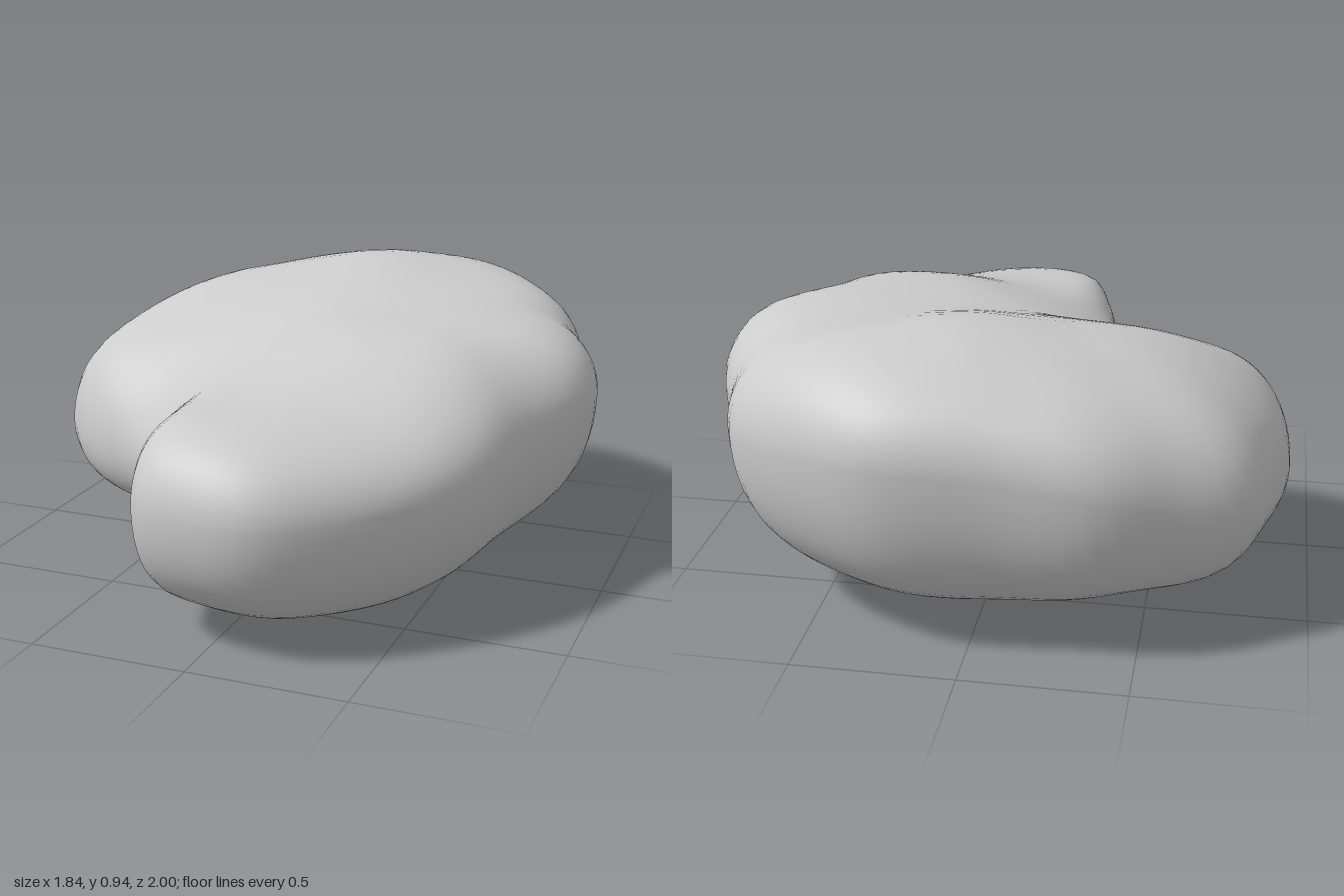
import * as THREE from 'three';

// Widest contour of the boulder seen from above: x, height, z
const RIM = [
  [-0.1, 0.63, -0.98], [0.24, 0.65, -1.0], [0.42, 0.64, -0.94], [0.65, 0.61, -0.8], [0.75, 0.6, -0.68],
  [0.81, 0.6, -0.48], [0.9, 0.6, -0.27], [0.91, 0.6, -0.07], [0.8, 0.54, 0.18], [0.72, 0.5, 0.45],
  [0.6, 0.48, 0.65], [0.4, 0.46, 0.85], [0.2, 0.45, 0.98], [0.03, 0.45, 0.99], [-0.19, 0.45, 0.92],
  [-0.26, 0.44, 0.75], [-0.3, 0.42, 0.6], [-0.4, 0.38, 0.4], [-0.52, 0.36, 0.28], [-0.74, 0.37, 0.18],
  [-0.88, 0.39, 0.04], [-0.92, 0.4, -0.2], [-0.88, 0.43, -0.45], [-0.8, 0.47, -0.7], [-0.6, 0.52, -0.84],
  [-0.4, 0.58, -0.95],
];

// Heights of the upper and lower surface at a few places: x, z, top, bottom
const HEIGHTS = [
  [0.05, -0.5, 0.99, 0.07], [0.28, -0.6, 0.95, 0.09], [0.48, -0.7, 0.94, 0.12], [0.0, -0.8, 0.93, 0.1],
  [-0.35, -0.7, 0.89, 0.12], [-0.25, -0.4, 0.91, 0.1], [-0.5, -0.24, 0.89, 0.12], [-0.72, -0.4, 0.84, 0.12],
  [-0.75, 0.0, 0.81, 0.11], [0.2, -0.2, 0.85, 0.04], [0.45, -0.38, 0.86, 0.07], [-0.08, -0.05, 0.82, 0.07],
  [-0.35, 0.1, 0.68, 0.13], [-0.52, 0.22, 0.58, 0.15], [0.72, -0.62, 0.88, 0.15], [0.75, -0.4, 0.86, 0.16],
  [0.75, -0.1, 0.87, 0.17], [0.45, -0.08, 0.87, 0.05], [0.2, 0.1, 0.86, 0.01], [0.5, 0.24, 0.87, 0.04],
  [0.2, 0.28, 0.84, -0.01], [-0.15, 0.3, 0.73, 0.07], [0.72, 0.3, 0.77, 0.15], [0.4, 0.45, 0.75, 0.03],
  [0.5, 0.62, 0.68, 0.1], [0.2, 0.55, 0.71, 0.02], [-0.1, 0.55, 0.69, 0.07], [0.0, 0.8, 0.73, 0.08],
  [0.25, 0.85, 0.69, 0.08],
];

const CENTRE = new THREE.Vector3(0.05, 0, -0.1);
const REACH = 0.17;

// Height of a plane fitted to the nearby places, for the top and the bottom
function heightsAt(x, z) {
  const m = [0, 0, 0, 0, 0, 0, 0, 0, 0];
  const top = new THREE.Vector3(), bottom = new THREE.Vector3();
  for (const [hx, hz, t, b] of HEIGHTS) {
    const row = [1, hx - x, hz - z];
    const w = Math.exp(-(row[1] ** 2 + row[2] ** 2) / (2 * REACH * REACH));
    for (let k = 0; k < 9; k++) m[k] += w * row[Math.floor(k / 3)] * row[k % 3];
    const v = new THREE.Vector3(...row);
    top.addScaledVector(v, w * t);
    bottom.addScaledVector(v, w * b);
  }
  // keeps the slope gentle where few places are near
  m[4] += 0.01;
  m[8] += 0.01;
  const inverse = new THREE.Matrix3().set(...m).invert();
  return [top.applyMatrix3(inverse).x, bottom.applyMatrix3(inverse).x];
}

function surfacePoint(rim, t) {
  const s = Math.sin(t);
  const x = CENTRE.x + (rim.x - CENTRE.x) * s;
  const z = CENTRE.z + (rim.z - CENTRE.z) * s;
  const [top, bottom] = heightsAt(x, z);
  const front = Math.max(0, rim.z);
  // fuller shoulders towards the front, rounder ones on the low side
  const upper = t < Math.PI / 2;
  const fullness = upper ? 5 + rim.x + 2.5 * front : 6 + 1.5 * front;
  const bulge = Math.sqrt(Math.max(0, 1 - s ** fullness));
  const y = rim.y + ((upper ? top : bottom) - rim.y) * bulge;
  return new THREE.Vector3(x, Math.max(0, y), z);
}

// Rings running from the top pole over the rim to the bottom pole
function boulderGeometry(rings = 48, sides = 96) {
  const curve = new THREE.CatmullRomCurve3(RIM.map((p) => new THREE.Vector3(...p)), true);
  const rim = curve.getSpacedPoints(sides).slice(0, sides);
  const positions = [], index = [];
  const add = (p) => positions.push(p.x, p.y, p.z);
  add(surfacePoint(rim[0], 0));
  for (let i = 1; i < rings; i++) {
    for (const r of rim) add(surfacePoint(r, (i / rings) * Math.PI));
  }
  add(surfacePoint(rim[0], Math.PI));
  const last = positions.length / 3 - 1;
  const id = (i, j) => (i === 0 ? 0 : i === rings ? last : 1 + (i - 1) * sides + (j % sides));
  for (let i = 0; i < rings; i++) {
    for (let j = 0; j < sides; j++) {
      const a = id(i, j), b = id(i, j + 1), c = id(i + 1, j), d = id(i + 1, j + 1);
      if (i > 0) index.push(a, b, c);
      if (i < rings - 1) index.push(b, d, c);
    }
  }
  const geometry = new THREE.BufferGeometry();
  geometry.setAttribute('position', new THREE.Float32BufferAttribute(positions, 3));
  geometry.setIndex(index);
  geometry.computeVertexNormals();
  return geometry;
}

export function createModel() {
  const group = new THREE.Group();
  group.name = 'rock';
  const boulder = new THREE.Mesh(boulderGeometry(), new THREE.MeshStandardMaterial({ color: 0xcccccc }));
  boulder.name = 'boulder';
  group.add(boulder);
  return group;
}
